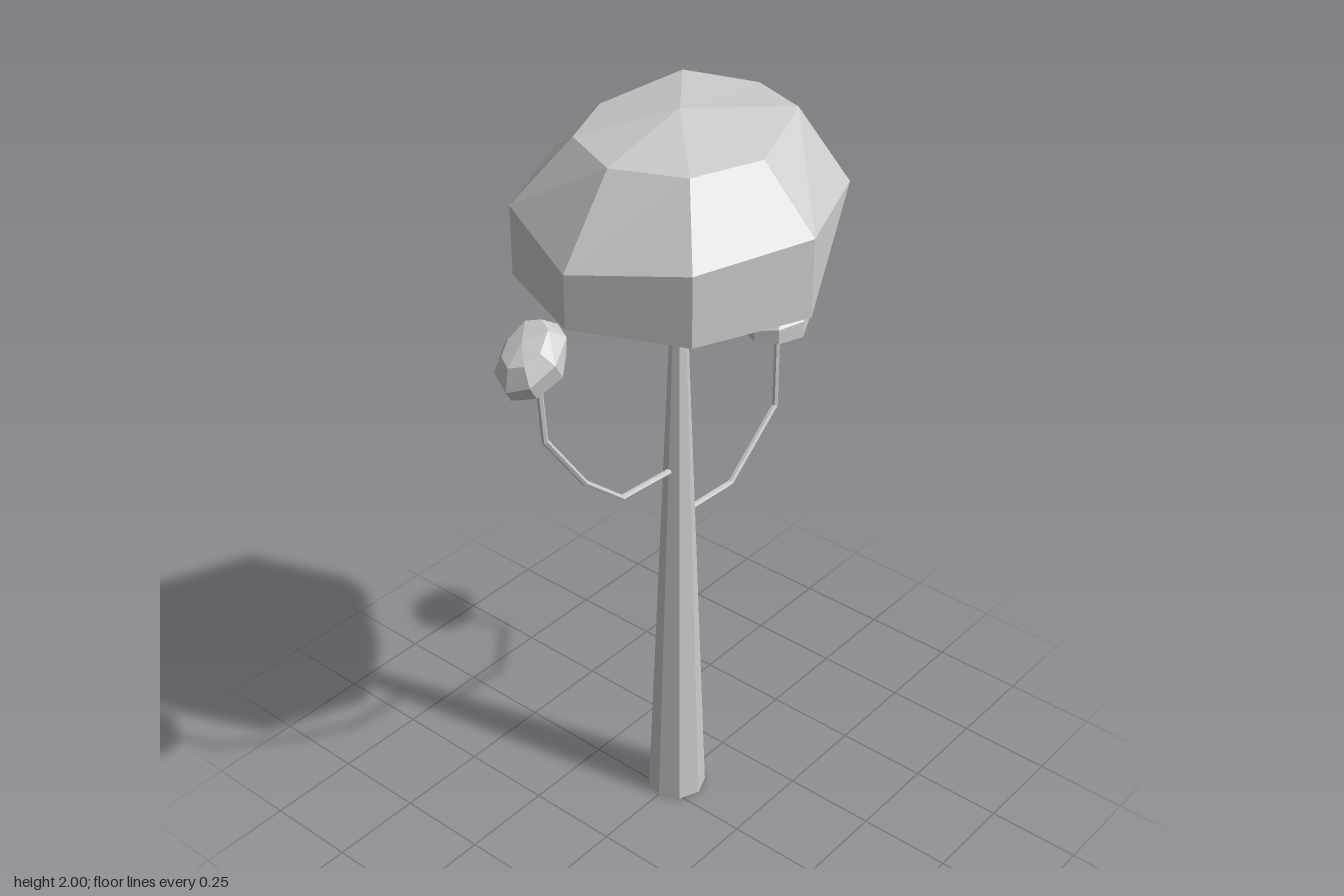
import * as THREE from 'three';

const material = new THREE.MeshStandardMaterial({ color: 0xcccccc, flatShading: true });

// Half rings (from +x round to -x) of the crown, bottom to top; mirrored in z.
const HALF_RINGS = [
  [[0.20, -0.20, 0], [0.15, -0.21, 0.15], [0, -0.215, 0.21], [-0.16, -0.215, 0.15], [-0.22, -0.215, 0]],
  [[0.36, -0.155, 0], [0.19, -0.13, 0.27], [0, -0.16, 0.385], [-0.28, -0.16, 0.27], [-0.395, -0.16, 0]],
  [[0.395, -0.025, 0], [0.29, 0.035, 0.27], [0, 0.035, 0.385], [-0.28, 0.015, 0.27], [-0.395, -0.025, 0]],
  [[0.29, 0.205, 0], [0.215, 0.215, 0.17], [0, 0.18, 0.24], [-0.17, 0.175, 0.17], [-0.245, 0.175, 0]],
];

// Faceted crown, centred on its own origin
function crownGeometry() {
  const positions = [], indices = [], n = 8;
  for (const half of HALF_RINGS) {
    const back = half.slice(1, 4).reverse().map(([x, y, z]) => [x, y, -z]);
    for (const p of [...half, ...back]) positions.push(...p);
  }
  const bottom = HALF_RINGS.length * n, top = bottom + 1;
  positions.push(0, -0.23, 0, 0, 0.235, 0);
  for (let i = 0; i < n; i++) {
    const j = (i + 1) % n;
    for (let r = 0; r < HALF_RINGS.length - 1; r++) {
      const a = r * n + i, b = r * n + j;
      indices.push(a, a + n, b, b, a + n, b + n);
    }
    const last = (HALF_RINGS.length - 1) * n;
    indices.push(bottom, i, j, top, last + j, last + i);
  }
  const geometry = new THREE.BufferGeometry();
  geometry.setAttribute('position', new THREE.Float32BufferAttribute(positions, 3));
  geometry.setIndex(indices);
  const flat = geometry.toNonIndexed();
  flat.computeVertexNormals();
  return flat;
}

// Thin jointed branch through points in the xy plane
function makeBranch(name, points, radius) {
  const path = new THREE.CurvePath();
  const group = new THREE.Group();
  group.name = name;
  const up = new THREE.Vector3(0, 1, 0);
  const pts = points.map(([x, y]) => new THREE.Vector3(x, y, 0));
  for (let i = 0; i < pts.length - 1; i++) {
    const dir = pts[i + 1].clone().sub(pts[i]);
    const length = dir.length();
    const segment = new THREE.Mesh(
      new THREE.CylinderGeometry(radius, radius, length + radius * 0.6, 6), material);
    segment.name = name + 'Segment';
    segment.position.copy(pts[i]).addScaledVector(dir, 0.5);
    segment.quaternion.setFromUnitVectors(up, dir.normalize());
    group.add(segment);
  }
  return group;
}

export function createModel() {
  const model = new THREE.Group();
  model.name = 'tree';

  // Tapered trunk
  const trunk = new THREE.Mesh(new THREE.CylinderGeometry(0.018, 0.078, 1.56, 8), material);
  trunk.name = 'trunk';
  trunk.rotation.y = Math.PI / 2;
  trunk.position.set(0.047, 0.78, 0);
  model.add(trunk);

  // Main crown and two small branch crowns
  const geometry = crownGeometry();
  const addCrown = (name, x, y, scale, tilt) => {
    const crown = new THREE.Mesh(geometry, material);
    crown.name = name;
    crown.position.set(x, y, 0);
    crown.scale.set(...scale);
    crown.rotation.z = tilt;
    model.add(crown);
  };
  addCrown('mainCrown', 0.047, 1.765, [1, 1, 1], 0);
  addCrown('leftCrown', 0.443, 1.31, [0.25, 0.23, 0.21], 0);
  addCrown('rightCrown', -0.458, 1.584, [0.25, 0.225, 0.2], 0.53);

  // Branches
  model.add(makeBranch('leftBranch', [[0.06, 0.896], [0.26, 0.887], [0.443, 1.04], [0.443, 1.28]], 0.008));
  model.add(makeBranch('rightBranch',
    [[0.03, 1.046], [-0.165, 1.06], [-0.295, 1.17], [-0.425, 1.35], [-0.442, 1.56]], 0.008));

  return model;
}
